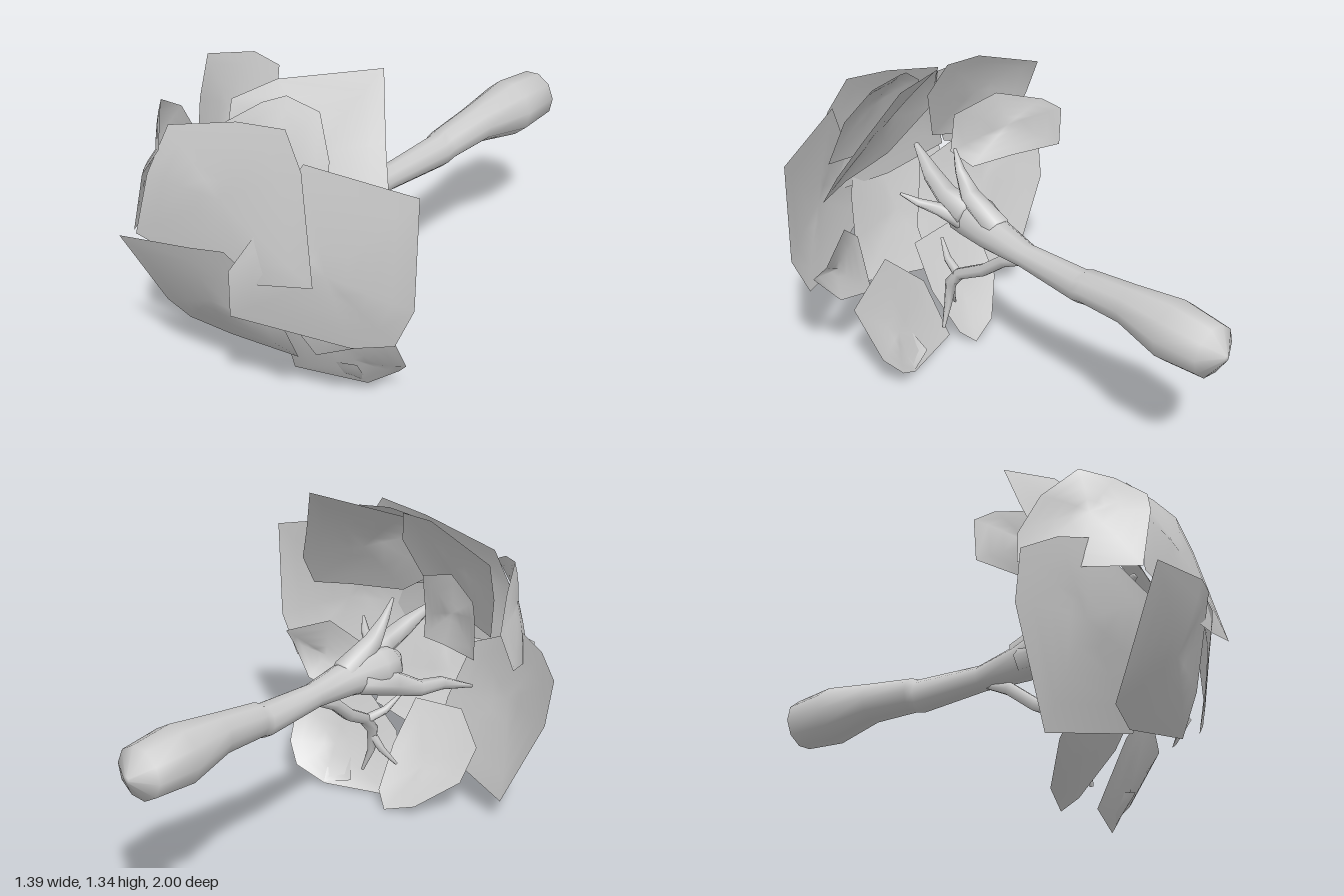
import * as THREE from 'three';
import { mergeVertices } from 'three/addons/utils/BufferGeometryUtils.js';

const solid = new THREE.MeshStandardMaterial({ color: 0xcccccc, side: THREE.DoubleSide });
const HEART = new THREE.Vector3(0, 0.65, 0.3); // leaves bulge away from here

function build(name, pos, idx) {
  const raw = new THREE.BufferGeometry();
  raw.setAttribute('position', new THREE.Float32BufferAttribute(pos, 3));
  raw.setIndex(idx);
  const geo = mergeVertices(raw, 1e-5);
  geo.computeVertexNormals();
  const mesh = new THREE.Mesh(geo, solid);
  mesh.name = name;
  return mesh;
}

// Tapered limb through sections [x, y, z, radius]
function limb(name, sections, sides = 8) {
  const pts = sections.map(s => new THREE.Vector3(s[0], s[1], s[2]));
  const pos = [], idx = [];
  const ref = new THREE.Vector3(1, 0.1, 0).normalize();
  pts.forEach((p, i) => {
    const t = pts[Math.min(i + 1, pts.length - 1)].clone().sub(pts[Math.max(i - 1, 0)]).normalize();
    const v = t.clone().cross(ref).normalize();
    const u = v.clone().cross(t);
    for (let k = 0; k < sides; k++) {
      const a = k / sides * Math.PI * 2, r = sections[i][3];
      const q = p.clone().addScaledVector(u, Math.cos(a) * r).addScaledVector(v, Math.sin(a) * r);
      pos.push(q.x, q.y, q.z);
      if (i < pts.length - 1) {
        const A = i * sides + k, B = i * sides + (k + 1) % sides;
        idx.push(A, A + sides, B, B, A + sides, B + sides);
      }
    }
  });
  // end caps
  [0, pts.length - 1].forEach(i => {
    const c = pos.length / 3;
    pos.push(pts[i].x, pts[i].y, pts[i].z);
    for (let k = 0; k < sides; k++) {
      const A = i * sides + k, B = i * sides + (k + 1) % sides;
      i ? idx.push(A, c, B) : idx.push(A, B, c);
    }
  });
  return build(name, pos, idx);
}

// Gently domed leaf sheet spanning an outline of corners
function leaf(name, outline, bulge = 0.03) {
  const rim = outline.map(p => new THREE.Vector3(...p));
  const mid = new THREE.Vector3();
  rim.forEach(p => mid.addScaledVector(p, 1 / rim.length));
  const out = mid.clone().sub(HEART).normalize();
  const pos = [], idx = [], n = rim.length, rings = 4;
  for (let j = 0; j <= rings; j++) {
    const f = j / rings;
    rim.forEach((p, k) => {
      const q = mid.clone().lerp(p, f).addScaledVector(out, bulge * (1 - f * f));
      pos.push(q.x, q.y, q.z);
      if (j === rings) return;
      const A = j * n + k, B = j * n + (k + 1) % n;
      if (j) idx.push(A, A + n, B);
      idx.push(B, A + n, B + n);
    });
  }
  return build(name, pos, idx);
}

export function createModel() {
  const model = new THREE.Group();
  model.name = 'tree';

  const wood = new THREE.Group();
  wood.name = 'wood';
  // trunk lies along z with a swollen foot
  wood.add(limb('trunk', [
    [0, 0.68, -1, 0.012], [0, 0.68, -0.94, 0.105], [0, 0.68, -0.76, 0.12],
    [0, 0.685, -0.55, 0.082], [0, 0.665, -0.34, 0.07], [0, 0.652, -0.3, 0.068], [0, 0.65, 0, 0.052],
    [-0.01, 0.66, 0.2, 0.075], [-0.04, 0.665, 0.34, 0.095], [-0.04, 0.66, 0.42, 0.085], [-0.03, 0.67, 0.5, 0.03],
  ], 10));
  const branches = {
    upperBranch: [[-0.01, 0.69, 0.18, 0.06], [-0.02, 0.77, 0.35, 0.045], [-0.03, 0.86, 0.42, 0.022], [-0.04, 0.94, 0.46, 0.006]],
    frontBranch: [[0, 0.7, 0.34, 0.07], [0, 0.73, 0.47, 0.05], [-0.02, 0.78, 0.59, 0.04], [-0.06, 0.85, 0.73, 0.012]],
    leftBranch: [[0.02, 0.67, 0.35, 0.04], [0.06, 0.7, 0.45, 0.028], [0.13, 0.74, 0.5, 0.018], [0.18, 0.78, 0.55, 0.006]],
    rightBranch: [[-0.05, 0.65, 0.24, 0.06], [-0.11, 0.61, 0.38, 0.055], [-0.16, 0.56, 0.5, 0.035], [-0.2, 0.56, 0.6, 0.028], [-0.24, 0.5, 0.77, 0.007]],
    lowerBranch: [[0, 0.62, 0.02, 0.02], [0, 0.57, 0.13, 0.028], [0.01, 0.48, 0.24, 0.028], [0.03, 0.41, 0.37, 0.026],
      [0.03, 0.34, 0.43, 0.026], [0.04, 0.24, 0.44, 0.018], [0.08, 0.13, 0.43, 0.007]],
    lowerTwig: [[0.03, 0.4, 0.38, 0.022], [0, 0.42, 0.48, 0.018], [-0.03, 0.48, 0.55, 0.007]],
    lowerFork: [[0.03, 0.31, 0.43, 0.02], [0, 0.24, 0.46, 0.015], [-0.05, 0.17, 0.5, 0.006]],
  };
  for (const [name, path] of Object.entries(branches)) wood.add(limb(name, path, 6));
  model.add(wood);

  const leaves = new THREE.Group();
  leaves.name = 'leaves';
  // overlapping sheets forming the domed crown
  leaves.add(
    leaf('frontLeaf', [[-0.4, 0.67, 1], [-0.02, 0.77, 0.98], [0.11, 0.79, 0.94], [0.2, 0.65, 0.86], [0.24, 0.47, 0.8],
      [0.24, 0.3, 0.73], [-0.14, 0.21, 0.72], [-0.32, 0.23, 0.77], [-0.36, 0.33, 0.84]]),
    leaf('upperFrontLeaf', [[-0.28, 1.1, 0.83], [0.03, 1.2, 0.78], [0.25, 1.24, 0.76], [0.34, 1.12, 0.78], [0.45, 0.75, 0.85],
      [0.22, 0.68, 0.89], [-0.05, 0.64, 0.92], [-0.38, 0.66, 0.94], [-0.32, 0.92, 0.91]]),
    leaf('leftLeaf', [[0.33, 1.14, 0.76], [0.69, 1.08, 0.59], [0.69, 0.65, 0.61], [0.61, 0.47, 0.62], [0.48, 0.44, 0.7],
      [0.1, 0.51, 0.92], [0.13, 0.72, 0.94], [0.24, 0.95, 0.83]]),
    leaf('rightLeaf', [[-0.7, 0.69, 0.65], [-0.59, 0.76, 0.73], [-0.46, 0.8, 0.78], [-0.18, 0.66, 0.86], [-0.1, 0.4, 0.8],
      [-0.1, 0.21, 0.71], [-0.51, 0.1, 0.61], [-0.69, 0.5, 0.62]]),
    leaf('upperRightLeaf', [[-0.44, 1.11, 0.73], [-0.34, 1.09, 0.82], [-0.25, 1.04, 0.9], [-0.31, 0.93, 0.94], [-0.39, 0.67, 0.94],
      [-0.5, 0.68, 0.74], [-0.57, 0.73, 0.55], [-0.52, 0.88, 0.52], [-0.49, 1.02, 0.6]], 0.03),
    leaf('topRightLeaf', [[-0.5, 1.18, 0.45], [-0.2, 1.29, 0.48], [-0.05, 1.29, 0.5], [0, 1.15, 0.57], [-0.1, 0.9, 0.67],
      [-0.2, 0.87, 0.67], [-0.44, 0.83, 0.58], [-0.49, 1.02, 0.51]]),
    leaf('topLeftLeaf', [[0.31, 1.34, 0.35], [0.42, 1.13, 0.46], [0.5, 0.98, 0.53], [0.51, 0.84, 0.62], [0.35, 0.85, 0.68],
      [0.1, 0.87, 0.72], [-0.13, 1.02, 0.7], [-0.13, 1.19, 0.66], [-0.02, 1.26, 0.54]], 0.02),
    leaf('crownLeaf', [[-0.1, 1.13, 0.74], [0.03, 1.23, 0.66], [0.1, 1.26, 0.61], [0.25, 1.245, 0.6], [0.35, 1.12, 0.66],
      [0.4, 0.93, 0.72], [0.2, 0.86, 0.81], [-0.05, 0.9, 0.82]]),
    leaf('backRightLeaf', [[-0.52, 1, 0.33], [-0.47, 1.04, 0.39], [-0.3, 1.09, 0.49], [-0.12, 1.03, 0.55], [-0.12, 0.85, 0.58],
      [-0.17, 0.79, 0.5], [-0.32, 0.82, 0.42], [-0.52, 0.83, 0.34]], 0.02),
    leaf('lowerRightLeaf', [[-0.34, 0.15, 0.56], [-0.2, 0.04, 0.43], [-0.07, 0, 0.39], [-0.01, 0.06, 0.43], [0.02, 0.22, 0.57],
      [0, 0.4, 0.7], [-0.22, 0.4, 0.73], [-0.35, 0.28, 0.66]], 0.02),
    leaf('lowerLeftLeaf', [[-0.02, 0, 0.51], [0.27, 0.01, 0.4], [0.38, 0.09, 0.34], [0.45, 0.17, 0.38], [0.49, 0.38, 0.5],
      [0.24, 0.47, 0.6], [0.03, 0.26, 0.61]], 0.03),
    leaf('innerLeftLeaf', [[0.24, 0.5, 0.78], [0.27, 0.29, 0.67], [0.5, 0.4, 0.57], [0.61, 0.54, 0.59], [0.59, 0.62, 0.52],
      [0.42, 0.68, 0.62]], 0.02),
    leaf('smallLowerLeaf', [[0.16, 0.04, 0.45], [0.27, 0.02, 0.4], [0.3, 0.16, 0.49], [0.2, 0.13, 0.5]], 0.015),
  );
  model.add(leaves);
  return model;
}
